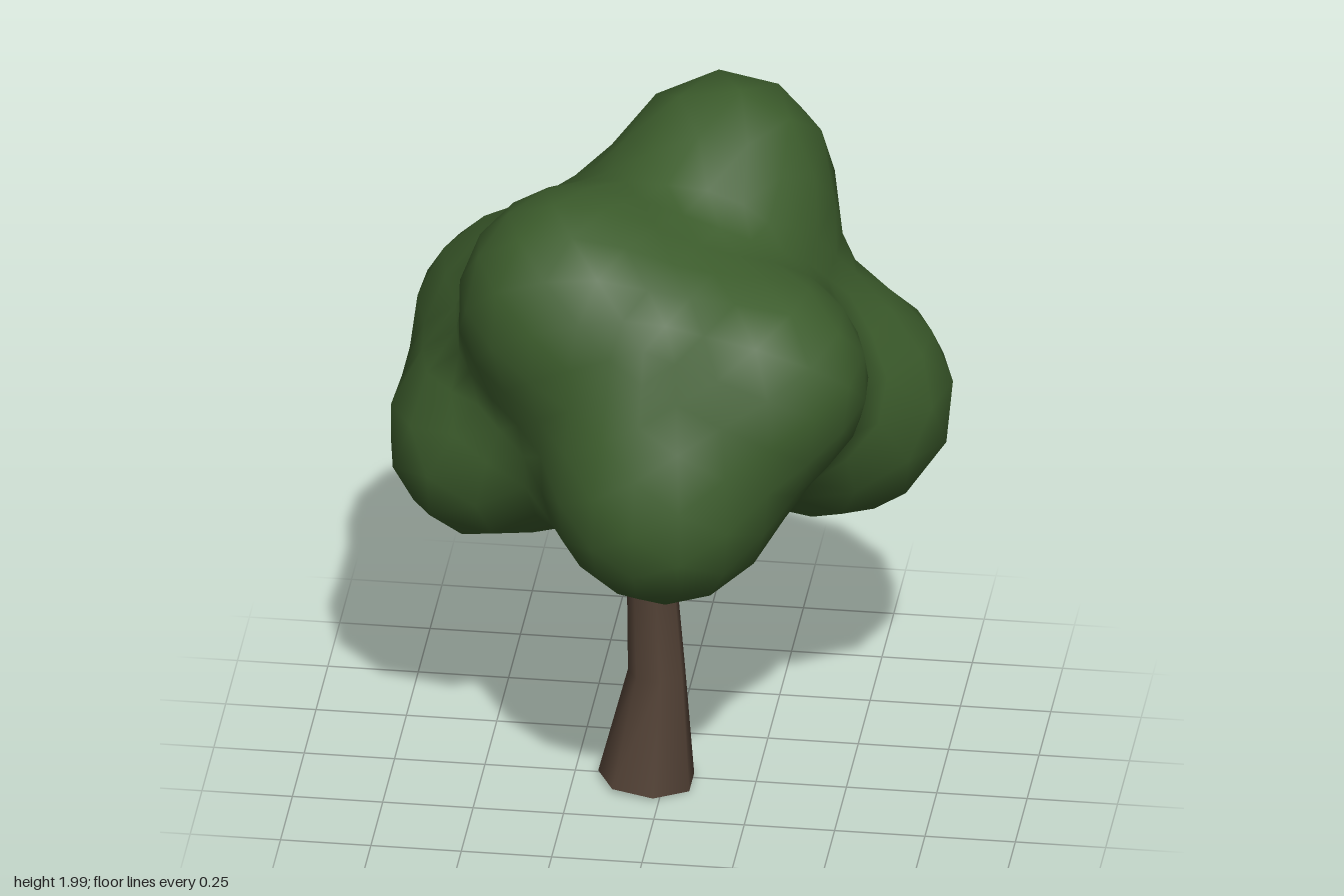
import * as THREE from 'three';
import { mergeVertices } from 'three/addons/utils/BufferGeometryUtils.js';

// Foliage lobes: x, y, z, radius
const LOBES = [
  [0, 1.3, 0, 0.4],            // core
  [0, 1.07, 0.13, 0.17],       // underside
  [-0.42, 1.17, -0.39, 0.325], // low, right rear
  [-0.49, 1.045, 0.03, 0.275], // low, right side
  [0.125, 1.71, -0.33, 0.29],  // crown
  [0.14, 1.38, -0.26, 0.27],   // under the crown
  [-0.2, 1.4, -0.2, 0.27],     // rear hollow
  [-0.23, 1.57, 0.185, 0.31],  // upper front
  [0.31, 1.42, 0.28, 0.28],    // upper left front
  [0.05, 1.11, 0.41, 0.3],     // low front
  [0.44, 1.08, -0.25, 0.325],  // low left rear
];

// Distance to the softly blended lobes
function leafDistance(p, blend = 0.08) {
  let sum = 0;
  for (const [x, y, z, r] of LOBES) {
    sum += Math.exp((r - Math.hypot(p.x - x, p.y - y, p.z - z)) / blend);
  }
  return -blend * Math.log(sum);
}

// A coarse ball shrunk inward until it rests on the lobes
function foliageGeometry() {
  const ball = new THREE.IcosahedronGeometry(1, 5);
  ball.deleteAttribute('uv');
  ball.deleteAttribute('normal');
  const geo = mergeVertices(ball, 1e-4);
  const pos = geo.attributes.position;
  const centre = new THREE.Vector3(0, 1.28, -0.02);
  const dir = new THREE.Vector3(), p = new THREE.Vector3();
  for (let i = 0; i < pos.count; i++) {
    dir.fromBufferAttribute(pos, i).normalize();
    let t = 1.3;
    for (let n = 0; n < 80; n++) {
      const d = leafDistance(p.copy(centre).addScaledVector(dir, t));
      if (d < 0.001) break;
      t -= d;
    }
    p.copy(centre).addScaledVector(dir, t);
    pos.setXYZ(i, p.x, p.y, p.z);
  }
  geo.computeVertexNormals();
  return geo;
}

// Tapered limb through rings of [x, y, z, radiusX, radiusZ, tilt]
function limbGeometry(rings, sides) {
  const verts = [], index = [];
  rings.forEach(([x, y, z, rx, rz, tilt = 0], k) => {
    for (let i = 0; i < sides; i++) {
      const a = (i / sides) * Math.PI * 2;
      verts.push(x - rx * Math.cos(a), y - tilt * Math.cos(a), z - rz * Math.sin(a));
      if (k === 0) continue;
      const j = (i + 1) % sides, lo = (k - 1) * sides, hi = k * sides;
      index.push(lo + i, hi + i, lo + j, lo + j, hi + i, hi + j);
    }
  });
  const geo = new THREE.BufferGeometry();
  geo.setAttribute('position', new THREE.Float32BufferAttribute(verts, 3));
  geo.setIndex(index);
  geo.computeVertexNormals();
  return geo;
}

export function createModel() {
  const leafGreen = new THREE.MeshStandardMaterial({ color: 0x3c5c2c });
  leafGreen.name = 'leafGreen';
  const barkBrown = new THREE.MeshStandardMaterial({ color: 0x524135, side: THREE.DoubleSide });
  barkBrown.name = 'barkBrown';

  const tree = new THREE.Group();
  tree.name = 'tree';
  const add = (name, geometry, material) => {
    const mesh = new THREE.Mesh(geometry, material);
    mesh.name = name;
    tree.add(mesh);
  };

  add('foliage', foliageGeometry(), leafGreen);

  // Leaning trunk with a flared, open foot
  add('trunk', limbGeometry([
    [-0.047, 0.012, 0.027, 0.136, 0.122, -0.01],
    [-0.021, 0.34, 0.018, 0.081, 0.073],
    [-0.034, 0.67, 0.034, 0.069, 0.06],
    [-0.015, 0.84, 0.03, 0.058, 0.055],
    [0.02, 1.1, 0.02, 0.04, 0.04],
  ], 7), barkBrown);

  // Short side branch disappearing into the leaves
  add('branch', limbGeometry([
    [0.0, 0.72, 0.015, 0.026, 0.026],
    [0.04, 0.8, -0.005, 0.03, 0.03],
    [0.12, 0.96, -0.03, 0.022, 0.022],
  ], 6), barkBrown);

  return tree;
}
